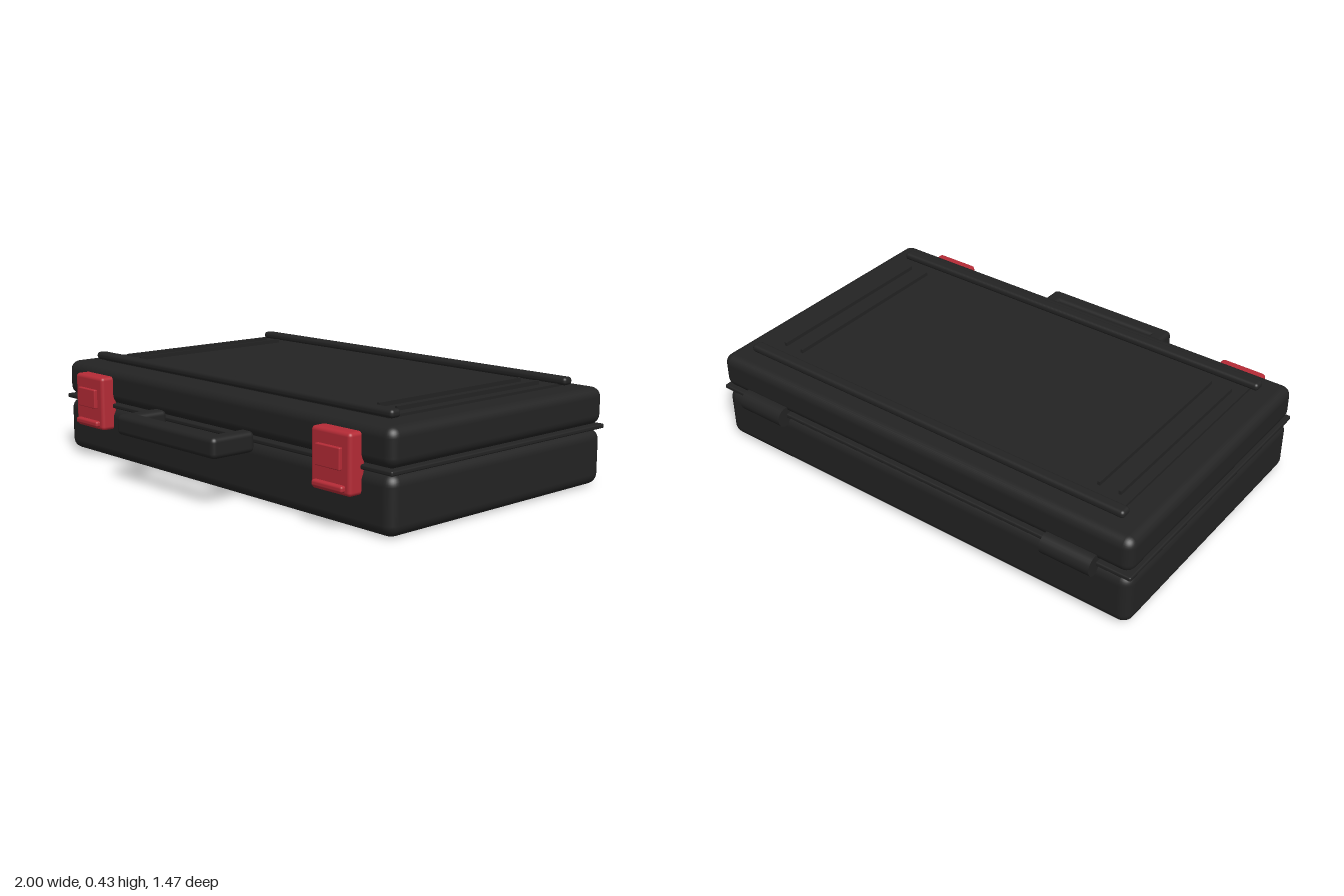
import * as THREE from 'three';
import { RoundedBoxGeometry } from 'three/addons/geometries/RoundedBoxGeometry.js';

export function createModel() {
  const model = new THREE.Group();
  model.name = 'carryCase';

  const black = new THREE.MeshStandardMaterial({ color: 0x232323 });
  black.name = 'black plastic';
  const red = new THREE.MeshStandardMaterial({ color: 0xb52b36 });
  red.name = 'red plastic';

  const add = (name, geometry, material, parent = model) => {
    const mesh = new THREE.Mesh(geometry, material);
    mesh.name = name;
    parent.add(mesh);
    return mesh;
  };
  // Box given by its extents on each axis; radius 0 leaves the edges sharp
  const block = (name, [x0, x1], [y0, y1], [z0, z1], radius, material = black, parent = model) => {
    const size = [x1 - x0, y1 - y0, z1 - z0];
    const geometry = radius
      ? new RoundedBoxGeometry(...size, 4, radius)
      : new THREE.BoxGeometry(...size);
    add(name, geometry, material, parent)
      .position.set((x0 + x1) / 2, (y0 + y1) / 2, (z0 + z1) / 2);
  };

  // Shells and the square-cornered lip between them
  const depth = [-0.685, 0.51];
  block('base', [-0.996, 0.996], [0, 0.226], depth, 0.045);
  block('lid', [-0.996, 0.996], [0.243, 0.392], depth, 0.04);
  block('seamLip', [-1, 1], [0.226, 0.244], [-0.688, 0.514], 0.006);

  // Raised top panel with a rail along the front and back
  block('topPanel', [-0.87, 0.87], [0.38, 0.402], [-0.575, 0.395], 0);
  for (const z of [-0.575, 0.395]) {
    block('topRail', [-0.905, 0.905], [0.398, 0.43], [z - 0.025, z + 0.025], 0.014);
  }

  for (const side of [-1, 1]) {
    // Pair of thin ribs at each end of the panel
    for (const x of [0.73, 0.82]) {
      block('topRib', [side * x - 0.006, side * x + 0.006], [0.395, 0.418], [-0.49, 0.31], 0);
    }

    // Latch: body, press plate and lower grip bar
    const latch = new THREE.Group();
    latch.name = 'latch';
    latch.position.x = side * 0.75;
    model.add(latch);
    block('latchBody', [-0.1, 0.1], [0.133, 0.36], [0.49, 0.566], 0.015, red, latch);
    block('latchPlate', [-0.062, 0.062], [0.225, 0.305], [0.55, 0.581], 0.004, red, latch);
    block('latchGrip', [-0.078, 0.078], [0.147, 0.172], [0.55, 0.585], 0.009, red, latch);

    // Hinge barrel
    const hinge = add('hinge', new THREE.CylinderGeometry(0.043, 0.043, 0.214, 24), black);
    hinge.rotation.z = Math.PI / 2;
    hinge.position.set(side * 0.75, 0.233, -0.693);

    // Handle arm
    block('handleArm', [side * 0.273 - 0.035, side * 0.273 + 0.035], [0.197, 0.279], [0.53, 0.73], 0.02);
  }
  block('handleGrip', [-0.308, 0.308], [0.197, 0.279], [0.657, 0.732], 0.02);

  return model;
}
